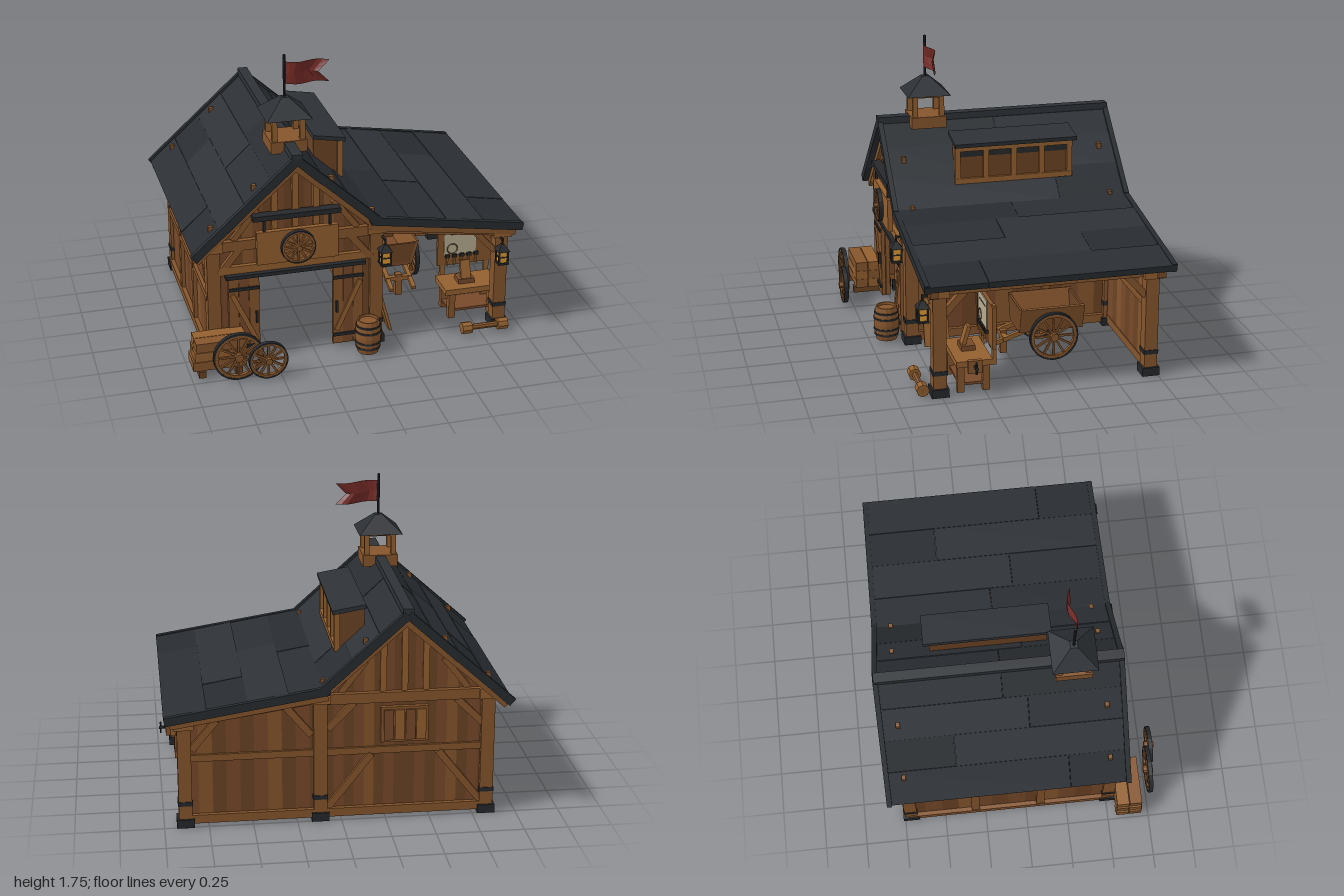
import * as THREE from 'three';

const mat = (c, o = {}) => new THREE.MeshStandardMaterial({ color: c, flatShading: true, ...o });
const WOOD = mat(0x85552c), LIGHT = mat(0x94602f), DARK = mat(0x6b4324), MID = mat(0x77492a);
const IRON = mat(0x26282b), GLOW = mat(0xe09a30), PAPER = mat(0xb5ac90);
const FLAG = mat(0x732a26, { side: THREE.DoubleSide });
const ROOFS = [mat(0x2b2f34), mat(0x2e3237), mat(0x282c30)];
const PLANKS = [DARK, MID, DARK, WOOD, MID];
const V = (x, y, z) => new THREE.Vector3(x, y, z);
const RX = -0.355, FRONT = 0.52, BACK = -0.72; // ridge line and wall planes

// Height of the roof's upper face at x
const roofY = x => x < 0.1 ? 1.25 - 0.9 * Math.abs(x - RX) : 0.825 - 0.157 * (x - 0.1);

function add(parent, name, geo, m) {
  const mesh = new THREE.Mesh(geo, m);
  mesh.name = name;
  parent.add(mesh);
  return mesh;
}
// Box from its extents
function box(g, name, m, x0, x1, y0, y1, z0, z1) {
  const b = add(g, name, new THREE.BoxGeometry(x1 - x0, y1 - y0, z1 - z0), m);
  b.position.set((x0 + x1) / 2, (y0 + y1) / 2, (z0 + z1) / 2);
  return b;
}
// Square beam between two points
function beam(g, name, m, p, q, w, d = w) {
  const b = add(g, name, new THREE.BoxGeometry(w, p.distanceTo(q), d), m);
  b.position.copy(p).lerp(q, 0.5);
  b.quaternion.setFromUnitVectors(V(0, 1, 0), q.clone().sub(p).normalize());
  return b;
}
function cyl(g, name, m, r0, r1, h, x, y, z, n = 10) {
  const c = add(g, name, new THREE.CylinderGeometry(r0, r1, h, n), m);
  c.position.set(x, y, z);
  return c;
}
function group(parent, name, x = 0, y = 0, z = 0) {
  const g = new THREE.Group();
  g.name = name;
  g.position.set(x, y, z);
  parent.add(g);
  return g;
}
function prism(g, name, m, pts, z, d) {
  const s = new THREE.Shape(pts.map(p => new THREE.Vector2(...p)));
  const e = add(g, name, new THREE.ExtrudeGeometry(s, { depth: d, bevelEnabled: false }), m);
  e.position.z = z;
  return e;
}
// Spoked wheel facing z
function wheel(parent, name, r, x, y, z) {
  const g = group(parent, name, x, y, z);
  for (const [m, a, b, d] of [[IRON, r, r * 0.93, 0.026], [WOOD, r * 0.94, r * 0.82, 0.022]]) {
    const s = new THREE.Shape().absarc(0, 0, a, 0, Math.PI * 2);
    s.holes.push(new THREE.Path().absarc(0, 0, b, 0, Math.PI * 2, true));
    add(g, 'rim', new THREE.ExtrudeGeometry(s, { depth: d, bevelEnabled: false, curveSegments: 12 }), m).position.z = -d / 2;
  }
  for (let i = 0; i < 12; i++) {
    const a = i * Math.PI / 6;
    beam(g, 'spoke', WOOD, V(0, 0, 0), V(Math.cos(a) * r * 0.85, Math.sin(a) * r * 0.85, 0), 0.012);
  }
  cyl(g, 'hub', WOOD, r * 0.17, r * 0.17, 0.06, 0, 0, 0).rotation.x = Math.PI / 2;
  return g;
}
// Upright plank wall reaching up to the roof
function plankWall(g, name, z, x0, x1, n, bottom = () => 0.02) {
  for (let i = 0; i < n; i++) {
    const a = x0 + (x1 - x0) * i / n, b = x0 + (x1 - x0) * (i + 1) / n, y = bottom((a + b) / 2);
    prism(g, name, PLANKS[i % 5], [[a, y], [b, y], [b, roofY(b - 1e-4) - 0.04], [a, roofY(a + 1e-4) - 0.04]], z, 0.025);
  }
}
function post(g, x, z, h) {
  const p = group(g, 'post', x, 0, z);
  box(p, 'postShaft', WOOD, -0.038, 0.038, 0, h, -0.038, 0.038);
  box(p, 'postFoot', IRON, -0.05, 0.05, 0, 0.05, -0.05, 0.05);
  box(p, 'postBand', IRON, -0.042, 0.042, 0.13, 0.155, -0.042, 0.042);
  box(p, 'postHead', LIGHT, -0.055, 0.055, h - 0.06, h, -0.055, 0.055);
}
function lantern(g, x, y, z) {
  const l = group(g, 'lantern', x, y, z);
  box(l, 'lanternGlass', GLOW, -0.024, 0.024, 0.01, 0.085, -0.024, 0.024);
  box(l, 'lanternBase', IRON, -0.032, 0.032, 0, 0.012, -0.032, 0.032);
  for (const a of [-1, 1]) for (const b of [-1, 1])
    box(l, 'lanternBar', IRON, a * 0.026 - 0.005, a * 0.026 + 0.005, 0, 0.09, b * 0.026 - 0.005, b * 0.026 + 0.005);
  box(l, 'lanternBand', IRON, -0.028, 0.028, 0.043, 0.05, -0.028, 0.028);
  cyl(l, 'lanternCap', IRON, 0.012, 0.052, 0.04, 0, 0.105, 0, 4).rotation.y = Math.PI / 4;
  cyl(l, 'lanternHook', IRON, 0.006, 0.006, 0.04, 0, 0.14, 0, 6);
  beam(l, 'lanternArm', IRON, V(0, 0.15, 0.005), V(0, 0.15, -0.06), 0.012);
}
// One roof slope as rows of boards
function slope(g, x0, y0, x1, y1, rows) {
  const dx = (x1 - x0) / rows, dy = (y1 - y0) / rows, s = Math.sign(dx), L = Math.hypot(dx, dy);
  for (let i = 0; i < rows; i++) {
    const cut = [-0.1, 0.04, -0.4, 0.25][i % 4], ends = [-0.82, cut, 0.605];
    for (let k = 0; k < 2; k++) {
      const t = 0.034 + ((i + k) % 2) * 0.004;
      const b = add(g, 'roofBoard', new THREE.BoxGeometry(L + 0.012, t, ends[k + 1] - ends[k] - 0.002), ROOFS[(i + k * 2) % 3]);
      b.position.set(x0 + dx * (i + 0.5) + s * dy / L * 0.018, y0 + dy * (i + 0.5) - 0.018, (ends[k] + ends[k + 1]) / 2);
      b.rotation.z = Math.atan2(dy * s, dx * s) - s * 0.015;
    }
  }
  for (const z of [-0.81, 0.59]) // edge trim and rafters on both ends
    beam(g, 'edgeTrim', ROOFS[2], V(x0, y0 - 0.02, z), V(x1, y1 - 0.02, z), 0.048, 0.03);
  for (const z of [-0.75, 0.545])
    beam(g, 'endRafter', WOOD, V(x0, y0 - 0.07, z), V(x1 - dx * 0.12, y1 - dy * 0.12 - 0.065, z), 0.05, 0.045);
}

function buildFrame(g) {
  // Plank walls
  plankWall(g, 'backWall', BACK, -0.84, RX, 8);
  plankWall(g, 'backWall', BACK, RX, 0.1, 8);
  plankWall(g, 'leanToBackWall', BACK, 0.1, 0.88, 10);
  const sill = x => (x > -0.6 && x < -0.12 ? 0.53 : 0.02);
  plankWall(g, 'frontWall', FRONT - 0.02, -0.84, RX, 8, sill);
  plankWall(g, 'frontWall', FRONT - 0.02, RX, 0.1, 8, sill);
  for (let i = 0; i < 12; i++) {
    const z = BACK + i * 0.1025;
    box(g, 'sideWall', PLANKS[i % 5], -0.85, -0.825, 0.02, 0.76, z, z + 0.1025);
    box(g, 'innerSideWall', PLANKS[(i + 2) % 5], 0.1, 0.125, 0.02, 0.78, z, z + 0.1025);
  }
  // Posts, sills, plates and rails
  for (const z of [0.51, -0.71]) {
    post(g, -0.83, z, 0.76);
    post(g, 0.12, z, 0.77);
    post(g, 0.88, z, 0.65);
  }
  for (const x of [-0.845, 0.12]) {
    box(g, 'sideSill', WOOD, x - 0.03, x + 0.03, 0.02, 0.07, BACK, FRONT);
    box(g, 'sidePlate', WOOD, x - 0.03, x + 0.03, 0.7, 0.75, BACK, FRONT);
    box(g, 'sideRail', WOOD, x - 0.025, x + 0.025, 0.39, 0.43, BACK, FRONT);
    for (const z of [0.09, -0.31]) box(g, 'sideStud', WOOD, x - 0.027, x + 0.027, 0.02, 0.72, z - 0.025, z + 0.025);
    for (const [a, b] of [[0.47, 0.3], [-0.67, -0.5]])
      beam(g, 'sideBrace', WOOD, V(x, 0.53, a), V(x, 0.71, b), 0.05, 0.04);
  }
  box(g, 'leanToPlate', WOOD, 0.85, 0.91, 0.6, 0.655, -0.75, 0.55);
  for (const [a, b] of [[0.48, 0.35], [-0.68, -0.55]])
    beam(g, 'plateBrace', WOOD, V(0.88, 0.48, a), V(0.88, 0.62, b), 0.04);
  box(g, 'backSill', WOOD, -0.85, 0.9, 0.02, 0.07, -0.745, -0.69);
  box(g, 'backRail', WOOD, -0.85, 0.9, 0.39, 0.43, -0.735, -0.69);
  box(g, 'backTie', WOOD, -0.85, 0.12, 0.7, 0.76, -0.75, -0.69);
  for (const [x, y, u, v] of [[-0.8, 0.07, -0.55, 0.39], [0.08, 0.07, -0.17, 0.39], [-0.8, 0.55, -0.65, 0.7],
    [0.08, 0.55, -0.07, 0.7], [0.17, 0.52, 0.31, 0.69], [0.84, 0.46, 0.7, 0.63]])
    beam(g, 'backBrace', WOOD, V(x, y, -0.727), V(u, v, -0.727), 0.04, 0.025);
  for (const z of [0.53, -0.71]) {
    beam(g, 'leanToBeam', WOOD, V(0.1, 0.735, z), V(0.9, 0.62, z), 0.05);
    for (const x of [-0.12, 0, 0.12])
      box(g, 'gableStud', LIGHT, RX + x - 0.018, RX + x + 0.018, 0.76, roofY(RX + x) - 0.06, z - 0.02, z + 0.02);
    for (const s of [-1, 1])
      beam(g, 'gableBrace', WOOD, V(RX + s * 0.36, 0.76, z), V(RX + s * 0.22, 0.94, z), 0.035);
  }
  beam(g, 'frontBrace', WOOD, V(0.84, 0.5, 0.53), V(0.72, 0.63, 0.53), 0.035);
  // Shuttered back window
  box(g, 'backWindowFrame', WOOD, -0.49, -0.22, 0.46, 0.67, -0.745, -0.715);
  for (let i = 0; i < 4; i++) box(g, 'shutterSlat', i % 2 ? MID : LIGHT, -0.475 + i * 0.061, -0.42 + i * 0.061, 0.475, 0.655, -0.757, -0.74);
}

function buildFront(g) {
  box(g, 'frontTie', WOOD, -0.86, 0.15, 0.7, 0.76, 0.5, 0.555);
  box(g, 'doorHeader', LIGHT, -0.8, 0.08, 0.555, 0.6, 0.51, 0.55);
  box(g, 'doorTrack', IRON, -0.765, 0.05, 0.53, 0.552, 0.52, 0.575);
  for (const s of [-1, 1]) {
    beam(g, 'cornerBrace', WOOD, V(RX + s * 0.44, 0.56, 0.535), V(RX + s * 0.32, 0.71, 0.535), 0.04, 0.03);
    // Narrow braced doors beside the opening
    const d = group(g, 'door', RX + s * 0.305, 0, 0.545);
    for (let i = 0; i < 3; i++) box(d, 'doorPlank', i % 2 ? MID : WOOD, -0.09 + i * 0.06, -0.032 + i * 0.06, 0.03, 0.53, -0.012, 0.012);
    for (const y of [0.09, 0.46]) box(d, 'doorStrap', IRON, -0.09, 0.09, y - 0.009, y + 0.009, 0.008, 0.022);
    beam(d, 'doorBrace', LIGHT, V(s * 0.07, 0.43, 0.016), V(-s * 0.07, 0.12, 0.016), 0.028, 0.012);
    box(d, 'doorHandle', IRON, -s * 0.07 - 0.006, -s * 0.07 + 0.006, 0.24, 0.31, 0.01, 0.03);
    box(g, 'signHanger', IRON, RX + s * 0.19 - 0.007, RX + s * 0.19 + 0.007, 0.81, 0.89, 0.575, 0.59);
  }
  box(g, 'signRail', IRON, -0.61, -0.105, 0.885, 0.915, 0.54, 0.6);
  box(g, 'signBoard', LIGHT, -0.59, -0.12, 0.615, 0.815, 0.565, 0.595);
  wheel(g, 'signWheel', 0.1, RX, 0.71, 0.608);
}

function buildRoof(g) {
  slope(g, RX, 1.25, -0.95, 0.715, 4);
  slope(g, RX, 1.25, 0.11, 0.831, 3);
  slope(g, 0.08, 0.828, 0.985, 0.686, 4);
  box(g, 'ridgeCap', ROOFS[1], -0.385, -0.325, 1.225, 1.265, -0.82, 0.605);
  for (const x of [-0.83, -0.58, -0.135, 0.105]) for (const z of [-0.71, 0.49])
    box(g, 'roofPeg', WOOD, x - 0.013, x + 0.013, roofY(x) - 0.04, roofY(x) + 0.018, z - 0.012, z + 0.012);
  // Long window dormer
  const d = group(g, 'dormer');
  prism(d, 'dormerBody', DARK, [[-0.16, 1.04], [-0.005, 0.9], [-0.005, 1.15], [-0.16, 1.175]], -0.49, 0.68);
  for (let i = 0; i < 5; i++) {
    const z = -0.485 + i * 0.17;
    box(d, 'windowBar', LIGHT, -0.02, 0.012, 0.925, 1.15, z - 0.016, z + 0.016);
    if (i < 4) box(d, 'windowShade', IRON, -0.01, 0.0, 1.085, 1.125, z + 0.015, z + 0.155);
  }
  for (const y of [0.94, 1.138]) box(d, 'windowRail', LIGHT, -0.02, 0.014, y - 0.016, y + 0.016, -0.5, 0.2);
  const top = box(d, 'dormerRoof', ROOFS[1], -0.167, 0.027, 1.163, 1.187, -0.525, 0.215);
  top.rotation.z = -0.17;
  // Cupola with pennant
  const c = group(g, 'cupola', RX, 0, 0.31);
  box(c, 'cupolaBase', WOOD, -0.105, 0.105, 1.2, 1.27, -0.105, 0.105);
  for (const x of [-0.08, 0.08]) for (const z of [-0.08, 0.08])
    box(c, 'cupolaPost', LIGHT, x - 0.015, x + 0.015, 1.25, 1.41, z - 0.015, z + 0.015);
  box(c, 'cupolaPlate', WOOD, -0.095, 0.095, 1.385, 1.405, -0.095, 0.095);
  cyl(c, 'cupolaRoof', ROOFS[0], 0.03, 0.184, 0.1, 0, 1.45, 0, 4).rotation.y = Math.PI / 4;
  cyl(c, 'flagPole', IRON, 0.008, 0.008, 0.26, 0, 1.615, 0, 8);
  const geo = new THREE.PlaneGeometry(0.26, 0.13, 8, 4), p = geo.attributes.position;
  for (let i = 0; i < p.count; i++) {
    const u = p.getX(i) / 0.26 + 0.5, v = p.getY(i) / 0.065;
    p.setXYZ(i, u * (0.195 + 0.065 * Math.abs(v)), 1.64 + p.getY(i) - u * 0.012, Math.sin(u * 6.3) * 0.022);
  }
  geo.computeVertexNormals();
  add(c, 'pennant', geo, FLAG);
}

function buildYard(g) {
  wheel(g, 'bigWheel', 0.145, -0.745, 0.155, 0.77);
  wheel(g, 'smallWheel', 0.113, -0.58, 0.123, 0.798);
  // Stacked timber
  for (const x of [-0.94, -0.73]) box(g, 'timberSkid', DARK, x - 0.02, x + 0.02, 0.01, 0.05, 0.55, 0.715);
  for (let j = 0; j < 3; j++) for (let k = 0; k < 2; k++)
    box(g, 'timber', (j + k) % 2 ? WOOD : LIGHT, -0.99 + j * 0.01, -0.685 + j * 0.004, 0.05 + j * 0.058, 0.105 + j * 0.058, 0.55 + k * 0.078, 0.624 + k * 0.078);
  // Barrel
  const b = group(g, 'barrel', 0.045, 0.01, 0.645);
  const prof = [[0, 0], [0.062, 0], [0.073, 0.05], [0.077, 0.1], [0.073, 0.155], [0.062, 0.205], [0.054, 0.205], [0.052, 0.19], [0, 0.19]];
  add(b, 'barrelBody', new THREE.LatheGeometry(prof.map(q => new THREE.Vector2(...q)), 14), WOOD);
  for (const [y, r] of [[0.035, 0.073], [0.07, 0.078], [0.135, 0.078], [0.17, 0.073]]) cyl(b, 'barrelHoop', IRON, r, r, 0.012, 0, y, 0, 14);
  // Loose axle
  cyl(g, 'axleBar', WOOD, 0.018, 0.018, 0.28, 0.77, 0.045, 0.605, 8).rotation.z = Math.PI / 2;
  for (const x of [0.66, 0.88]) cyl(g, 'axleHub', LIGHT, 0.036, 0.036, 0.06, x, 0.045, 0.605, 8).rotation.z = Math.PI / 2;
  // Leaning boards
  for (const [z, h] of [[0.42, 0.29], [0.34, 0.26]]) beam(g, 'leaningBoard', LIGHT, V(0.24, 0.01, z), V(0.165, h, z), 0.018, 0.07);
  lantern(g, 0.155, 0.53, 0.6);
  lantern(g, 0.868, 0.44, 0.595);
}

function buildCart(g) {
  const c = group(g, 'cart', 0.415, 0, -0.235);
  for (const s of [-1, 1]) {
    wheel(c, 'cartWheel', 0.145, s * 0.165, 0.15, 0).rotation.y = Math.PI / 2;
    beam(c, 'cartSide', WOOD, V(s * 0.105, 0.18, 0), V(s * 0.145, 0.32, 0), 0.016, 0.38);
    beam(c, 'cartShaft', LIGHT, V(s * 0.07, 0.16, 0.15), V(s * 0.07, 0.09, 0.36), 0.025);
  }
  box(c, 'cartFloor', MID, -0.11, 0.11, 0.165, 0.185, -0.19, 0.19);
  for (const z of [-0.19, 0.175]) prism(c, 'cartEnd', DARK, [[-0.1, 0.18], [0.1, 0.18], [0.14, 0.31], [-0.14, 0.31]], z, 0.015);
  box(c, 'cartAxle', IRON, -0.18, 0.18, 0.138, 0.162, -0.012, 0.012);
  box(c, 'cartProp', WOOD, -0.02, 0.02, 0.01, 0.15, 0.24, 0.28);
  box(c, 'cartCrossbar', LIGHT, -0.085, 0.085, 0.11, 0.135, 0.25, 0.28);
}

function buildBench(g) {
  const w = group(g, 'workbench');
  box(w, 'benchTop', LIGHT, 0.59, 0.93, 0.17, 0.205, 0.215, 0.42);
  box(w, 'benchShelf', MID, 0.62, 0.9, 0.05, 0.065, 0.235, 0.4);
  for (const x of [0.635, 0.885]) for (const z of [0.245, 0.39]) box(w, 'benchLeg', WOOD, x - 0.02, x + 0.02, 0.01, 0.17, z - 0.02, z + 0.02);
  // Vise
  box(w, 'viseJaw', WOOD, 0.93, 0.955, 0.14, 0.215, 0.28, 0.36);
  cyl(w, 'viseScrew', IRON, 0.01, 0.01, 0.06, 0.965, 0.18, 0.32, 8).rotation.z = Math.PI / 2;
  cyl(w, 'viseHandle', IRON, 0.006, 0.006, 0.07, 0.985, 0.18, 0.32, 6);
  // Tool board with plan sheet and hanging tools
  box(w, 'toolBoard', WOOD, 0.6, 0.95, 0.27, 0.515, 0.2, 0.222);
  for (const x of [0.635, 0.915]) box(w, 'boardPost', LIGHT, x - 0.015, x + 0.015, 0.17, 0.52, 0.195, 0.215);
  box(w, 'planSheet', PAPER, 0.64, 0.84, 0.34, 0.51, 0.222, 0.228);
  add(w, 'planCircle', new THREE.TorusGeometry(0.032, 0.003, 4, 16), DARK).position.set(0.69, 0.38, 0.229);
  box(w, 'planLine', DARK, 0.68, 0.81, 0.47, 0.475, 0.226, 0.231);
  for (let i = 0; i < 5; i++) {
    const x = 0.66 + i * 0.045;
    box(w, 'toolHandle', LIGHT, x - 0.005, x + 0.005, 0.27, 0.33, 0.222, 0.234);
    box(w, 'toolHead', IRON, x - 0.014, x + 0.014, 0.325, 0.345, 0.222, 0.24);
  }
  // Work clamped on the bench
  box(w, 'workBlock', MID, 0.69, 0.79, 0.205, 0.235, 0.28, 0.36);
  beam(w, 'workBoard', LIGHT, V(0.74, 0.22, 0.345), V(0.74, 0.34, 0.31), 0.06, 0.022);
}

export function createModel() {
  const g = new THREE.Group();
  g.name = 'wheelwrightBarn';
  buildFrame(group(g, 'frame'));
  buildFront(group(g, 'front'));
  buildRoof(group(g, 'roof'));
  buildYard(group(g, 'yard'));
  buildCart(g);
  buildBench(g);
  return g;
}
